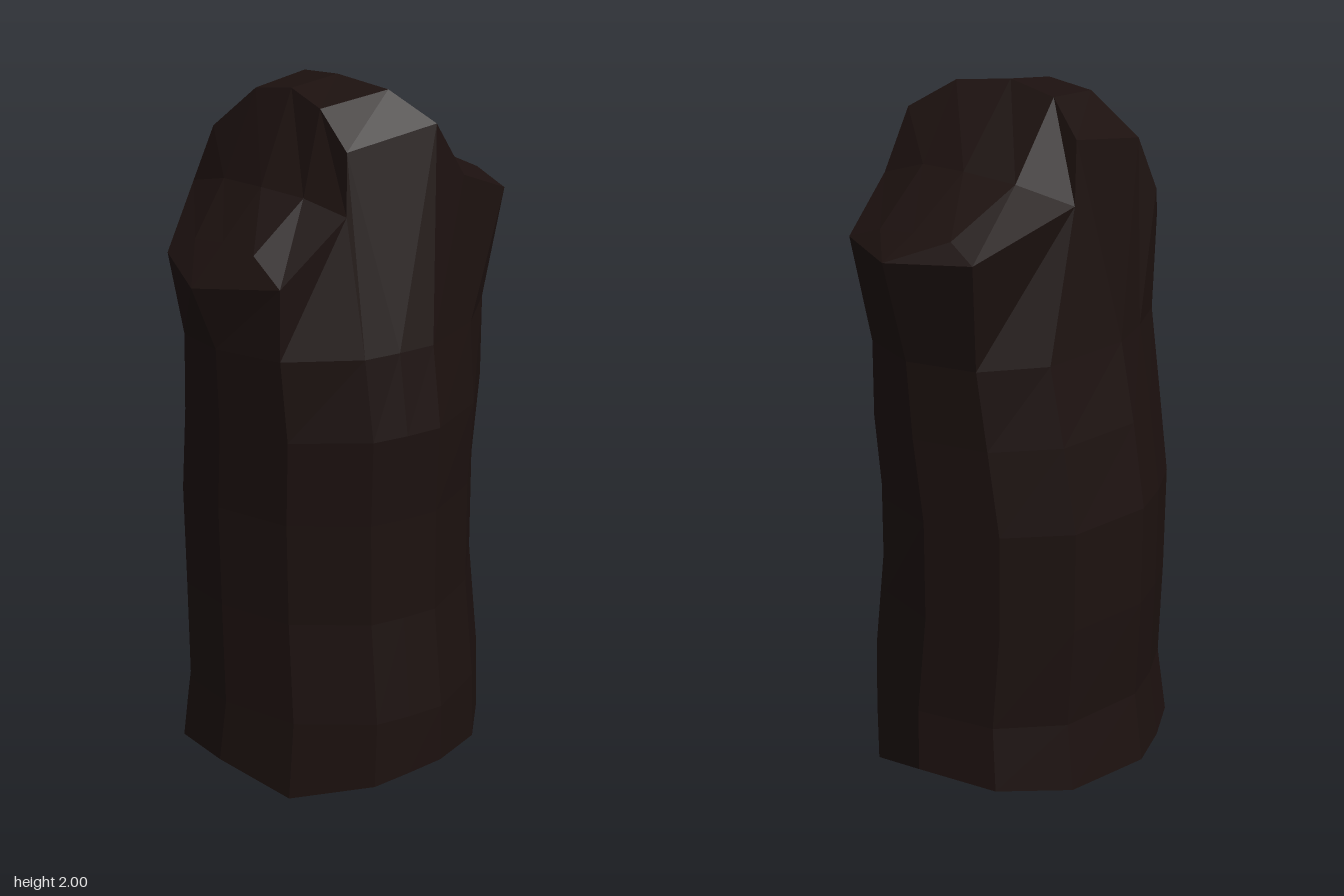
import * as THREE from 'three';

// Outline of the trunk, normalised to -1..1: [x, z, y of the bottom edge]
const OUTLINE = [
  [-1, -0.02, 0.06], [-0.88, 0.5, 0.01], [-0.5, 0.88, 0.05], [-0.27, 0.95, 0.065], [-0.03, 1, 0.075],
  [0.43, 0.85, 0.04], [0.85, 0.5, 0.0], [1, 0.05, 0.07], [0.9, -0.48, 0.06], [0.58, -0.85, 0.05],
  [0, -1, 0.04], [-0.3, -0.93, 0.045], [-0.6, -0.81, 0.05], [-0.96, -0.42, 0.06],
];

// Trunk cross-sections: [y, minX, maxX, minZ, maxZ]
const RINGS = [
  [0, -0.465, 0.44, -0.45, 0.45],
  [0.25, -0.45, 0.42, -0.42, 0.45],
  [0.55, -0.44, 0.405, -0.43, 0.42],
  [0.85, -0.445, 0.405, -0.43, 0.42],
  [1.1, -0.455, 0.415, -0.39, 0.43],
  [1.33, -0.47, 0.43, -0.345, 0.4],
];

// Broken top: tips at both sides, and stations across x, each running front to back
const TIP_LEFT = [-0.515, 1.5, -0.02];
const TIP_RIGHT = [0.515, 1.63, 0.05];
const STATIONS = [
  [[-0.42, 1.53, 0.22], [-0.42, 1.6, 0.12], [-0.42, 1.61, 0], [-0.43, 1.6, -0.1], [-0.46, 1.55, -0.18]],
  [[-0.24, 1.7, 0.28], [-0.27, 1.73, 0.15], [-0.3, 1.74, 0.02], [-0.29, 1.73, -0.14], [-0.27, 1.69, -0.29]],
  [[-0.21, 1.86, 0.25], [-0.19, 1.95, 0.13], [-0.17, 1.98, 0], [-0.18, 1.96, -0.13], [-0.22, 1.84, -0.26]],
  [[0.06, 1.9, 0.31], [0, 1.98, 0.19], [-0.03, 2, 0.03], [0, 1.98, -0.13], [0.07, 1.9, -0.25]],
  [[0.17, 1.74, 0.31], [0.18, 1.79, 0.17], [0.2, 1.8, 0.02], [0.19, 1.79, -0.14], [0.15, 1.75, -0.3]],
  [[0.42, 1.64, 0.235], [0.42, 1.68, 0.13], [0.42, 1.69, 0.02], [0.42, 1.69, -0.1], [0.45, 1.65, -0.19]],
];

const mix = (a, b, t) => a + (b - a) * t;

function meshOf(name, triangles, material) {
  const geometry = new THREE.BufferGeometry();
  geometry.setAttribute('position', new THREE.Float32BufferAttribute(triangles.flat(2), 3));
  geometry.computeVertexNormals();
  const mesh = new THREE.Mesh(geometry, material);
  mesh.name = name;
  return mesh;
}

export function createModel() {
  const group = new THREE.Group();
  group.name = 'stump';
  const bark = new THREE.MeshStandardMaterial({ color: 0x1c110f, flatShading: true });

  // Trunk wall: lofted rings ending in the rim of the broken top
  const rings = RINGS.map(([y, x0, x1, z0, z1], r) => OUTLINE.map(([u, v, base]) => [
    mix(x0, x1, (u + 1) / 2), r === 0 ? base : y, mix(z0, z1, (v + 1) / 2),
  ]));
  rings.push([
    TIP_LEFT, ...STATIONS.map((s) => s[0]),
    TIP_RIGHT, ...STATIONS.map((s) => s[4]).reverse(),
  ]);
  const wall = [];
  const n = OUTLINE.length;
  for (let r = 0; r < rings.length - 1; r++) {
    for (let i = 0; i < n; i++) {
      const j = (i + 1) % n;
      const [a, b, c, d] = [rings[r][i], rings[r][j], rings[r + 1][j], rings[r + 1][i]];
      wall.push([a, b, c], [a, c, d]);
    }
  }
  group.add(meshOf('trunk', wall, bark));

  // Broken top: strips between stations, closed by a fan at each tip
  const top = [];
  const last = STATIONS.length - 1;
  for (let k = 0; k < 4; k++) {
    top.push([TIP_LEFT, STATIONS[0][k], STATIONS[0][k + 1]]);
    top.push([TIP_RIGHT, STATIONS[last][k + 1], STATIONS[last][k]]);
    for (let s = 0; s < last; s++) {
      const [a, b, c, d] = [STATIONS[s][k], STATIONS[s + 1][k], STATIONS[s + 1][k + 1], STATIONS[s][k + 1]];
      top.push([a, b, c], [a, c, d]);
    }
  }
  group.add(meshOf('brokenTop', top, bark));

  // Underside
  const underside = rings[0].map((p, i) => [[0, 0.05, 0], rings[0][(i + 1) % n], p]);
  group.add(meshOf('underside', underside, bark));

  return group;
}
